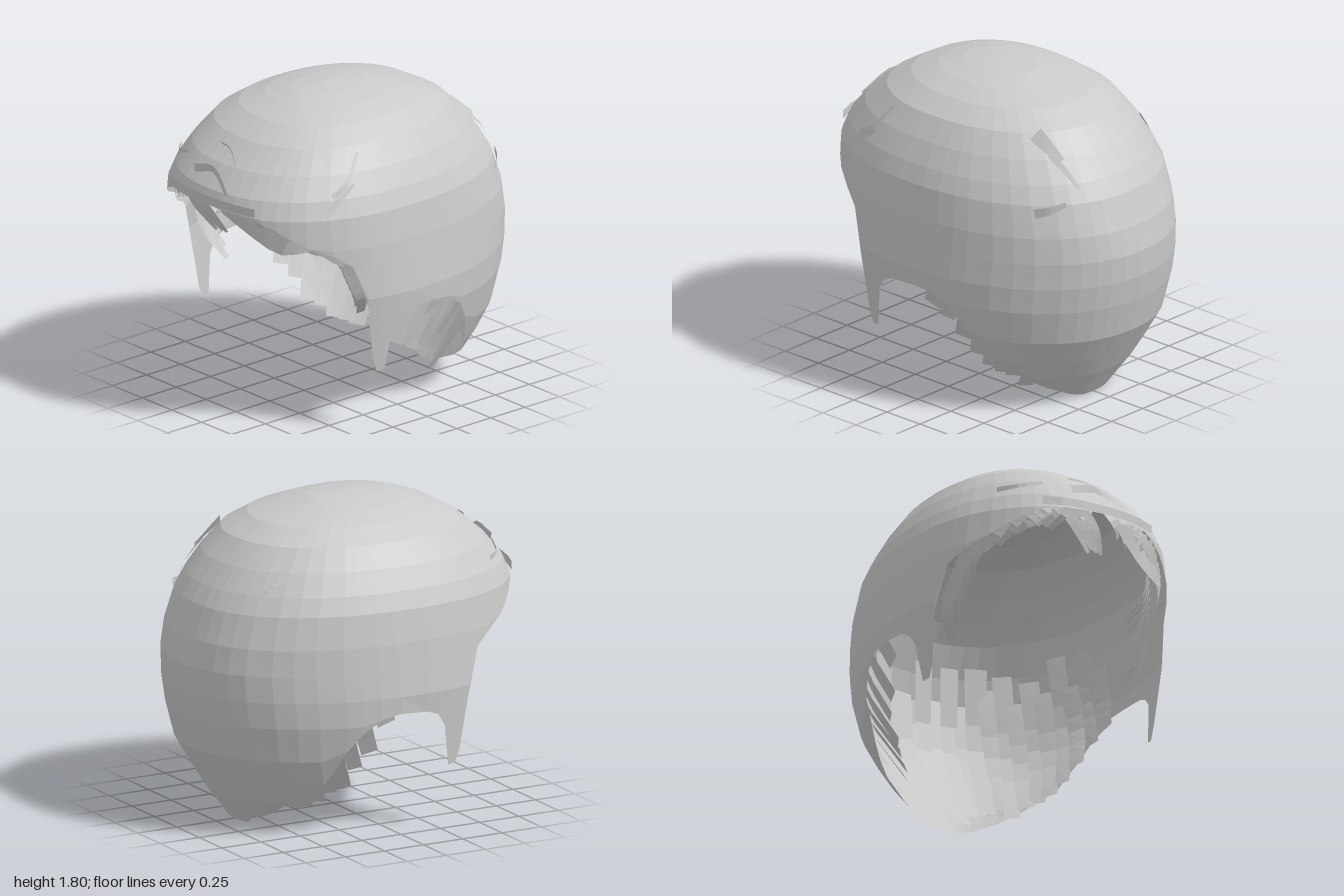
import * as THREE from 'three';

// Horizontal sections of the cap: y, half width, front z, back z
const rows = [
  [1.8, 0, 0.08, 0.08], [1.783, 0.16, 0.3, -0.16], [1.752, 0.3, 0.43, -0.29],
  [1.7, 0.43, 0.58, -0.49], [1.62, 0.55, 0.72, -0.64], [1.5, 0.635, 0.86, -0.755],
  [1.38, 0.7, 0.96, -0.845], [1.28, 0.74, 1, -0.905], [1.1, 0.77, 1, -0.97],
  [0.95, 0.785, 0.97, -1], [0.8, 0.8, 0.95, -0.995], [0.65, 0.795, 0.93, -0.97],
  [0.45, 0.75, 0.9, -0.92], [0.3, 0.69, 0.88, -0.83], [0.17, 0.61, 0.86, -0.75],
  [0.1, 0.54, 0.85, -0.7], [0, 0.45, 0.85, -0.63],
];
// Lower hem: angle from the front in degrees, height
const hem = [
  [0, 1.3], [22, 1.29], [35, 1.22], [47.5, 1.13], [57.5, 1.07], [64.4, 1], [69, 0.75],
  [71.2, 0.43], [73, 0.36], [76.5, 0.36], [79.6, 0.6], [82.7, 0.66], [86.7, 0.69], [95, 0.7],
  [101, 0.68], [107, 0.6], [112, 0.5], [121, 0.3], [136, 0.17], [146, 0.1],
  [160, 0.03], [172, 0], [180, 0],
];
const axisZ = 0.08;

let seed = 7;
const rand = () => (seed = (seed * 16807) % 2147483647) / 2147483647;
const jitter = (a) => (rand() - 0.5) * 2 * a;

// Linear lookup in a table whose first column rises (dir 1) or falls (dir -1)
function lookup(table, v, col, dir) {
  for (let i = 1; i < table.length; i++) {
    const a = table[i - 1], b = table[i];
    if ((b[0] - v) * dir >= 0) {
      const k = Math.min(1, Math.max(0, (v - a[0]) / (b[0] - a[0])));
      return a[col] + (b[col] - a[col]) * k;
    }
  }
  return table[table.length - 1][col];
}
const hemY = (deg) => lookup(hem, Math.abs(deg), 1, 1);

// Point on the head surface: squarish oval in front and above, rounder low behind;
// scale moves it towards or away from the upright axis
function surface(deg, y, scale = 1) {
  const t = THREE.MathUtils.degToRad(deg), front = Math.cos(t) > 0;
  const power = front ? 0.88 : 0.95 - 0.05 * THREE.MathUtils.smoothstep(y, 0.8, 1.2);
  const bulge = (v) => Math.sign(v) * Math.abs(v) ** power;
  let w = lookup(rows, y, 1, -1);
  if (front && y < 0.8) w = 0.8 - (0.8 - y) * 0.09;
  const reach = Math.abs(lookup(rows, y, front ? 2 : 3, -1) - axisZ);
  return new THREE.Vector3(w * bulge(Math.sin(t)) * scale, y, axisZ + reach * bulge(Math.cos(t)) * scale);
}

// Skin a grid of points with flat-shaded quads
function skin(grid) {
  const pos = [], put = (...ps) => ps.forEach((p) => pos.push(p.x, p.y, p.z));
  for (let i = 0; i + 1 < grid.length; i++) {
    for (let j = 0; j + 1 < grid[i].length; j++) {
      const a = grid[i][j], b = grid[i][j + 1], c = grid[i + 1][j + 1], d = grid[i + 1][j];
      for (const tri of [[a, b, c], [a, c, d]]) {
        const n = tri[1].clone().sub(tri[0]).cross(tri[2].clone().sub(tri[0]));
        if (n.length() > 1e-8) put(...tri);
      }
    }
  }
  const g = new THREE.BufferGeometry();
  g.setAttribute('position', new THREE.Float32BufferAttribute(pos, 3));
  g.computeVertexNormals();
  return g;
}

// Cap: columns run from the crown to the hem
function capGeometry() {
  const half = [];
  hem.forEach(([a], i) => {
    const next = i + 1 < hem.length ? hem[i + 1][0] : a;
    const n = Math.max(1, Math.round((next - a) / 7));
    for (let k = 0; k < n; k++) half.push(a + ((next - a) * k) / n);
  });
  half.push(180);
  const angles = [...half.slice(1).map((a) => -a).reverse(), ...half];
  const grid = angles.map((a) => {
    const end = Math.max(0, hemY(a) + (Math.abs(a) > 60 && Math.abs(a) < 172 ? jitter(0.012) : 0));
    return rows.map((r) => surface(a, Math.max(r[0], end)));
  });
  return skin(grid);
}

// Lock: a flat ribbon lying on the head along [angle, y, scale] points
function lockGeometry(path, width, taper = 1) {
  const curve = new THREE.CatmullRomCurve3(path.map((p) => surface(...p)));
  const n = 6, left = [], right = [];
  for (let i = 0; i <= n; i++) {
    const p = curve.getPoint(i / n);
    const out = new THREE.Vector3(p.x, 0, p.z - axisZ).normalize();
    const side = curve.getTangent(i / n).cross(out).normalize();
    side.multiplyScalar((width / 2) * (1 + (taper - 1) * (i / n)));
    left.push(p.clone().add(side));
    right.push(p.clone().sub(side));
  }
  return skin([right, left]);
}

export function createModel() {
  const model = new THREE.Group();
  model.name = 'hair';
  const hair = new THREE.MeshStandardMaterial({ color: 0xcacaca, flatShading: true, side: THREE.DoubleSide });
  hair.name = 'hair grey';

  const add = (name, geometry, parent = model) => {
    const mesh = new THREE.Mesh(geometry, hair);
    mesh.name = name;
    parent.add(mesh);
  };
  const group = (name) => {
    const g = new THREE.Group();
    g.name = name;
    model.add(g);
    return g;
  };

  add('cap', capGeometry());

  const nape = group('napeLocks'), fringe = group('fringeLocks');
  const temples = group('templeLocks'), wisps = group('wisps');

  for (const s of [-1, 1]) {
    // Long locks lining the back, swinging forward past the hem behind the ears
    for (let a = 105; a < 180; a += 5.5) {
      const swing = a < 150 ? 7 : 2;
      const end = hemY(a) + (a < 145 ? -0.03 : 0.06) + jitter(0.04);
      const top = 1.05 + jitter(0.12), inset = 0.88 + jitter(0.025);
      add('napeLock', lockGeometry([
        [s * a, top, 0.97], [s * (a - swing / 3), (top + end) / 2, 0.95], [s * (a - swing), end, inset],
      ], 0.12 + jitter(0.02), 0.8), nape);
    }
    // Short curled locks under the brim
    for (let a = 8; a < 60; a += 3.5) {
      const y = hemY(a);
      add('fringeLock', lockGeometry([
        [s * (a - 5), y + 0.08, 0.96], [s * a, y - 0.01 + jitter(0.02), 0.94],
        [s * (a + 5), y - 0.07 + jitter(0.03), 0.89 + jitter(0.03)],
      ], 0.07 + jitter(0.02), 0.6), fringe);
    }
    // Locks hanging in front of the ears
    for (let i = 0; i < 10; i++) {
      const y = 1.14 - i * 0.04, a = 58 + i * 1.2;
      add('templeLock', lockGeometry([
        [s * (a - 3), y + 0.1, 0.9], [s * a, y - 0.02, 0.85], [s * (a + 2), y - 0.14, 0.76 + jitter(0.04)],
      ], 0.08, 0.6), temples);
    }
  }
  // Sweep in the middle of the fringe
  for (let i = 0; i < 6; i++) {
    add('fringeLock', lockGeometry([
      [-16 + i * 2, 1.31, 0.96], [-10 + i * 2, 1.21 + jitter(0.02), 0.92], [-1 + i, 1.12 + jitter(0.02), 0.86],
    ], 0.06, 0.4), fringe);
  }
  // Curls sweeping sideways under the brim
  for (let i = 0; i < 5; i++) {
    add('fringeCurl', lockGeometry([
      [8 + i * 2, 1.28, 0.95], [24 + i, 1.15 + i * 0.02, 0.92], [36 + i, 1.09 + i * 0.02, 0.95], [49, 1.12 + i * 0.015, 0.96],
    ], 0.05, 0.7), fringe);
  }
  // Strand edging the brim
  add('brimStrand', lockGeometry([[-26, 1.32, 1.03], [-13, 1.325, 1.02], [0, 1.325, 1.01], [13, 1.325, 1.02], [26, 1.32, 1.03]], 0.05), fringe);

  // Loose wisps on the outside of the cap
  [
    [[[-46, 1.43, 1.02], [-36, 1.44, 1.03], [-24, 1.475, 1.02]], 0.03],
    [[[-11, 1.44, 1.02], [0, 1.475, 1.04], [11, 1.38, 1.02]], 0.05],
    [[[-7, 1.575, 1.01], [0, 1.57, 1.02], [8, 1.51, 1.01]], 0.012],
    [[[59, 1.39, 1.01], [65, 1.46, 1.02], [70, 1.6, 1.06]], 0.04],
    [[[54, 1.29, 1.01], [62, 1.38, 1.01], [68, 1.45, 1.02]], 0.04],
    [[[143, 1.62, 1.02], [148, 1.56, 1.03], [152, 1.5, 1.04]], 0.09],
    [[[148, 1.53, 1.02], [154, 1.43, 1.03], [157, 1.36, 1.02]], 0.04],
    [[[137, 1.24, 1.01], [143, 1.26, 1.02], [150, 1.29, 1.02]], 0.06],
    [[[-136, 1.5, 1.01], [-142, 1.44, 1.02], [-146, 1.36, 1.01]], 0.04],
  ].forEach(([path, width]) => add('wisp', lockGeometry(path, width, 0.5), wisps));

  return model;
}
